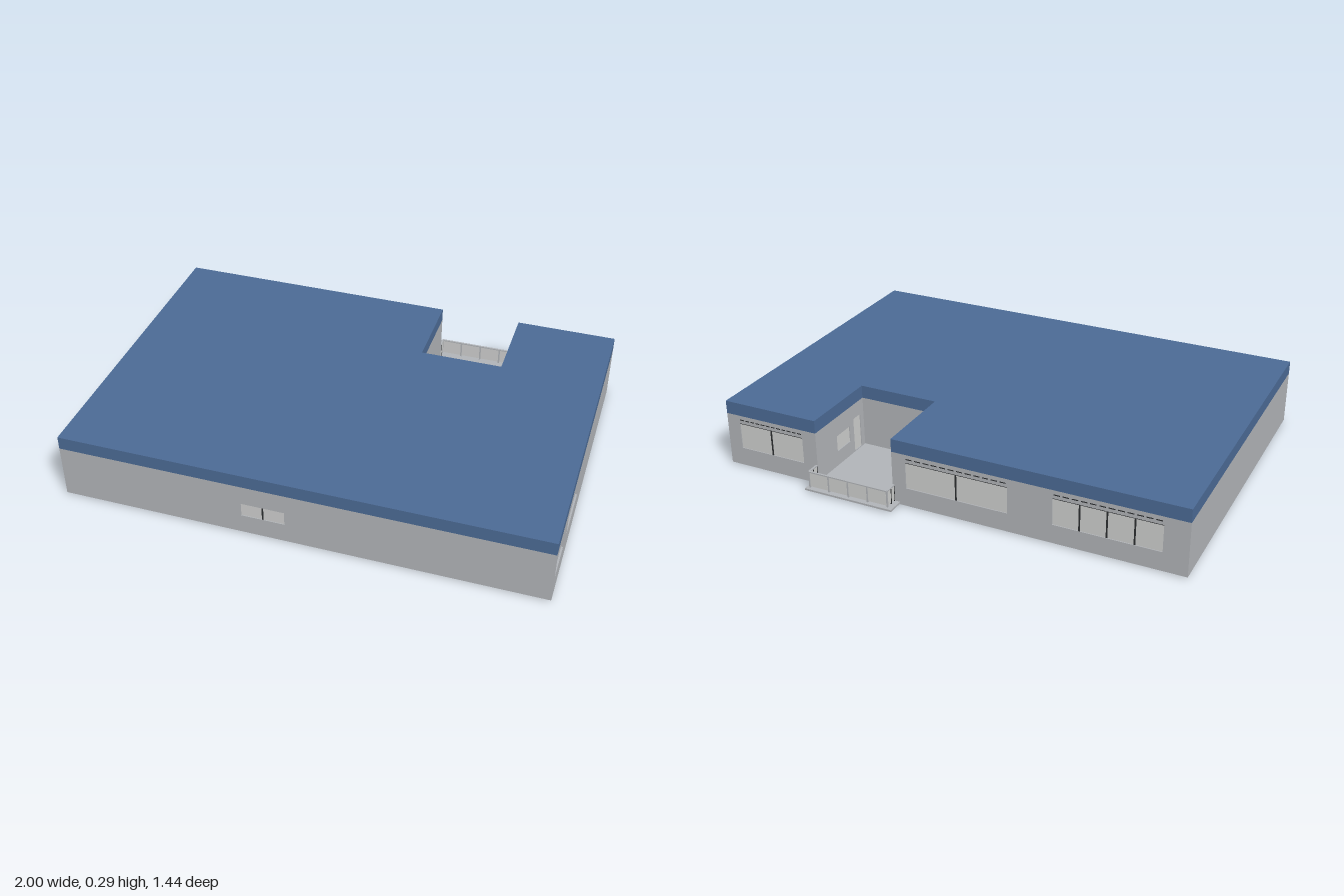
import * as THREE from 'three';

const mat = (name, color) => {
  const m = new THREE.MeshStandardMaterial({ color });
  m.name = name;
  return m;
};

export function createModel() {
  const wallGrey = mat('wall grey', 0xb0b3b7);
  const roofBlue = mat('roof blue', 0x4b6a94);
  const paneLight = mat('pane light grey', 0xcdcecd);
  const darkFrame = mat('dark frame', 0x2c2e30);
  const model = new THREE.Group();
  model.name = 'building';

  const T = 0.012, BASE = 0.005, EAVE = 0.235, TOP = 0.291;
  // Footprint corners (x, z), walked so that each wall faces outward
  const plan = [[-1, 0.72], [1, 0.72], [1, -0.65], [0.57, -0.65],
    [0.57, -0.29], [0.22, -0.29], [0.22, -0.65], [-1, -0.65]];

  const add = (parent, name, geometry, material, x = 0, y = 0, z = 0) => {
    const mesh = new THREE.Mesh(geometry, material);
    mesh.name = name;
    mesh.position.set(x, y, z);
    parent.add(mesh);
    return mesh;
  };
  const box = (parent, name, material, x0, x1, y0, y1, z0, z1) =>
    add(parent, name, new THREE.BoxGeometry(x1 - x0, y1 - y0, z1 - z0), material,
      (x0 + x1) / 2, (y0 + y1) / 2, (z0 + z1) / 2);
  const polygon = (points, Type = THREE.Shape) =>
    new Type(points.map(([a, b]) => new THREE.Vector2(a, b)));
  const rect = (a0, a1, b0, b1) => [[a0, b0], [a1, b0], [a1, b1], [a0, b1]];

  // Horizontal plate cut from a plan outline, with optional openings
  const slab = (name, points, y0, y1, material, openings = []) => {
    const flip = (list) => list.map(([x, z]) => [x, -z]);
    const shape = polygon(flip(points));
    shape.holes = openings.map((o) => polygon(flip(o), THREE.Path));
    const g = new THREE.ExtrudeGeometry(shape, { depth: y1 - y0, bevelEnabled: false });
    g.rotateX(-Math.PI / 2);
    return add(model, name, g, material, 0, y0, 0);
  };

  // Roof, ceiling and floor
  slab('roof', plan, EAVE, TOP, roofBlue);
  const inner = [[-0.99, 0.71], [0.99, 0.71], [0.99, -0.64], [0.58, -0.64],
    [0.58, -0.28], [0.21, -0.28], [0.21, -0.64], [-0.99, -0.64]];
  slab('ceiling', inner, EAVE - 0.006, EAVE, wallGrey);
  slab('floor', inner, BASE, BASE + 0.006, wallGrey, [
    rect(-0.985, -0.37, 0.0, 0.705),
    rect(-0.4, 0.15, -0.52, -0.24),
  ]);

  // Glazed panes set into an opening, with mullions and an optional vent slit
  const glaze = (parent, w) => {
    const { u0, u1, y0, y1, panes, slit } = w;
    const step = (u1 - u0) / panes;
    box(parent, 'windowPanes', paneLight, u0, u1, y0, y1, -0.01, -0.004);
    for (let i = 1; i < panes; i++) {
      const u = u0 + i * step;
      box(parent, 'mullion', darkFrame, u - 0.003, u + 0.003, y0, y1, -0.004, -0.001);
    }
    if (slit) {
      for (let i = 0; i < 12; i++) {
        const u = u0 + (i + 0.15) * (u1 - u0) / 12;
        box(parent, 'ventSlit', darkFrame, u, u + 0.7 * (u1 - u0) / 12, 0.214, 0.218, -0.002, 0.001);
      }
      box(parent, 'windowHead', darkFrame, u0, u1, y1 - 0.003, y1, -0.004, -0.001);
    }
  };

  // Upright wall between two plan points; u runs along the wall
  const wall = (name, [x0, z0], [x1, z1], windows = []) => {
    const length = Math.hypot(x1 - x0, z1 - z0);
    const group = new THREE.Group();
    group.name = name;
    group.position.set(x0, 0, z0);
    group.rotation.y = -Math.atan2(z1 - z0, x1 - x0);
    const shape = polygon(rect(0, length, BASE, EAVE));
    shape.holes = windows.map((w) => polygon(rect(w.u0, w.u1, w.y0, w.y1), THREE.Path));
    const g = new THREE.ExtrudeGeometry(shape, { depth: T, bevelEnabled: false });
    add(group, name + 'Panel', g, wallGrey, 0, 0, -T);
    windows.filter((w) => w.panes).forEach((w) => glaze(group, w));
    model.add(group);
    return group;
  };
  const win = (u0, u1, y0, y1, panes = 0, slit = false) => ({ u0, u1, y0, y1, panes, slit });

  const openings = [
    [win(0.77, 0.95, 0.09, 0.15, 2)],
    [win(0.02, 0.19, 0.105, 0.187), win(0.265, 0.505, 0.105, 0.187)],
    [win(0.06, 0.365, 0.085, 0.2, 2, true)],
    [win(0.15, 0.25, 0.08, 0.15, 1), win(0.28, 0.335, 0.02, 0.17, 1)],
    [],
    [],
    [win(0.06, 0.5, 0.085, 0.2, 2, true), win(0.685, 1.12, 0.085, 0.2, 4, true)],
    [],
  ];
  const names = ['frontWall', 'leftSideWall', 'backWallShort', 'porchSideWall',
    'porchBackWall', 'porchFarWall', 'backWallLong', 'rightSideWall'];
  plan.forEach((p, i) => wall(names[i], p, plan[(i + 1) % plan.length], openings[i]));

  // Inner partitions
  const partition = (x0, x1, z0, z1) =>
    box(model, 'partition', wallGrey, x0, x1, BASE, EAVE - 0.006, z0, z1);
  partition(-0.37, -0.36, 0.0, 0.705);
  partition(-0.985, -0.36, -0.01, 0.0);
  partition(-0.41, -0.4, -0.635, -0.01);
  partition(-0.4, 0.22, -0.24, -0.23);
  partition(0.7, 0.71, 0.1, 0.705);
  partition(0.7, 0.985, 0.1, 0.11);

  // Terrace in the recess with its panelled railing
  box(model, 'terrace', wallGrey, 0.22, 0.57, 0.008, 0.016, -0.65, -0.29);
  box(model, 'terraceEdge', wallGrey, 0.19, 0.59, 0.008, 0.016, -0.722, -0.65);
  const railing = new THREE.Group();
  railing.name = 'railing';
  model.add(railing);
  const X0 = 0.215, X1 = 0.575, ZR = -0.705;
  for (let i = 0; i < 4; i++) {
    const x = X0 + i * (X1 - X0) / 4;
    box(railing, 'railingPanel', paneLight, x + 0.004, x + 0.086, 0.022, 0.084, ZR - 0.002, ZR + 0.002);
  }
  for (let i = 0; i <= 4; i++) {
    const x = X0 + i * (X1 - X0) / 4;
    box(railing, 'railingPost', wallGrey, x - 0.003, x + 0.003, 0.016, 0.088, ZR - 0.003, ZR + 0.003);
  }
  box(railing, 'topRail', wallGrey, X0, X1, 0.085, 0.09, ZR - 0.004, ZR + 0.004);
  for (const x of [X0, X1]) {
    box(railing, 'sidePanel', paneLight, x - 0.002, x + 0.002, 0.022, 0.084, ZR, -0.65);
    box(railing, 'sideRail', wallGrey, x - 0.004, x + 0.004, 0.085, 0.09, ZR, -0.65);
    for (const z of [-0.677, -0.651])
      box(railing, 'sidePost', darkFrame, x - 0.003, x + 0.003, 0.016, 0.088, z - 0.002, z + 0.002);
  }

  // Low plinth strips under the walls
  box(model, 'frontPlinth', wallGrey, 0.64, 0.93, 0, BASE, 0.69, 0.71);
  box(model, 'backPlinth', wallGrey, 0.22, 0.57, 0, 0.008, -0.648, -0.636);
  return model;
}
